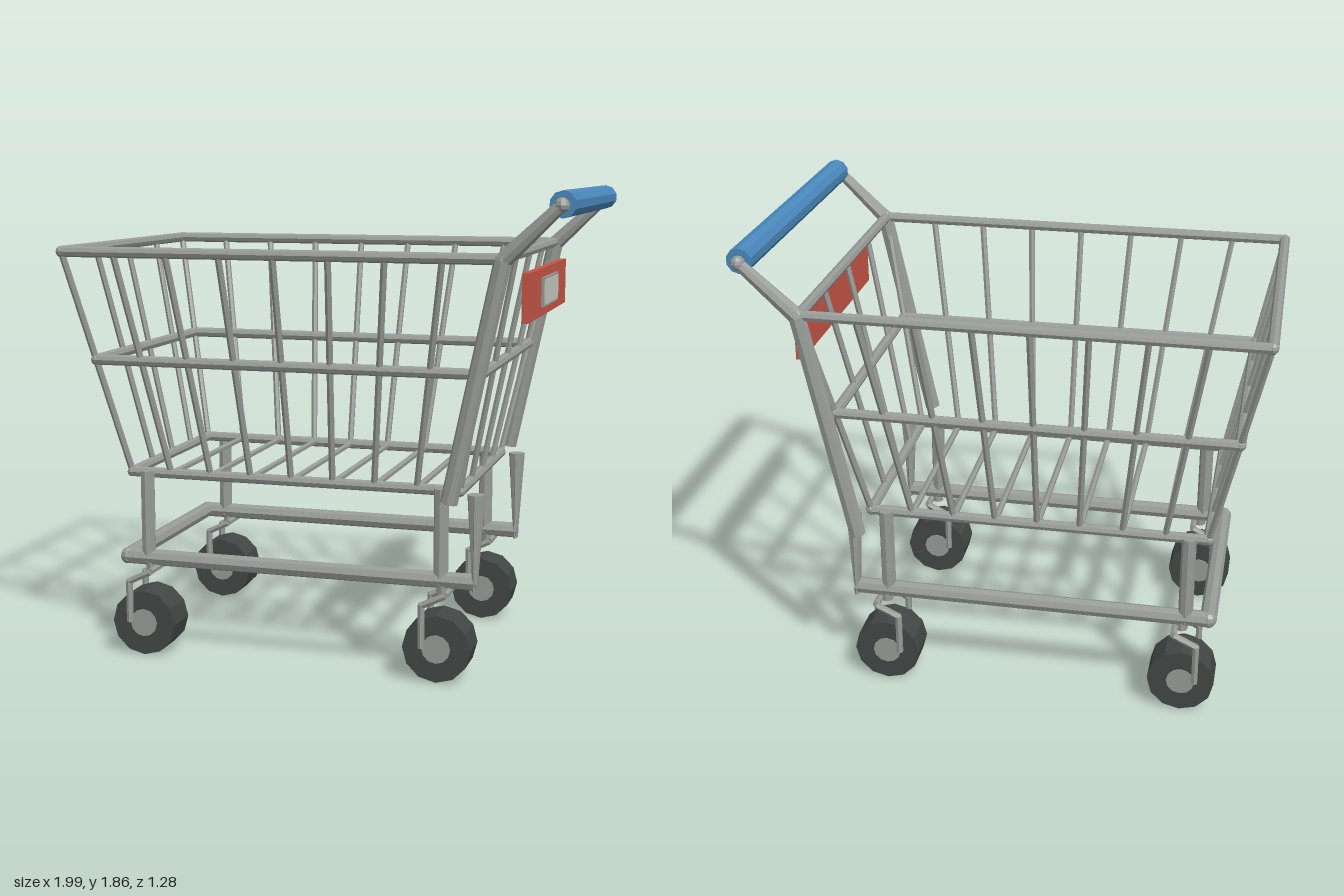
import * as THREE from 'three';

const mat = (name, color) => {
  const m = new THREE.MeshStandardMaterial({ color });
  m.name = name;
  return m;
};
const V = (x, y, z) => new THREE.Vector3(x, y, z);

export function createModel() {
  const metal = mat('steel grey', 0x979b97);
  const rubber = mat('dark rubber', 0x424746);
  const blue = mat('handle blue', 0x4a88bc);
  const red = mat('panel red', 0xc65646);
  const pale = mat('label pale grey', 0xc6c8c0);
  const cart = new THREE.Group();
  cart.name = 'shoppingCart';

  const group = (name, parent = cart) => {
    const g = new THREE.Group();
    g.name = name;
    parent.add(g);
    return g;
  };
  // faceted mesh
  const add = (parent, name, geometry, material, pos) => {
    const flat = geometry.index ? geometry.toNonIndexed() : geometry;
    flat.computeVertexNormals();
    const m = new THREE.Mesh(flat, material);
    m.name = name;
    if (pos) m.position.copy(pos);
    parent.add(m);
    return m;
  };
  // straight rod from a to b, optionally tapered
  const rod = (parent, name, a, b, r, r2 = r, material = metal, sides = 8) => {
    const d = b.clone().sub(a);
    const g = new THREE.CylinderGeometry(r2, r, d.length(), sides);
    g.applyQuaternion(new THREE.Quaternion().setFromUnitVectors(V(0, 1, 0), d.normalize()));
    return add(parent, name, g, material, a.clone().add(b).multiplyScalar(0.5));
  };
  const joint = (parent, p, r) => add(parent, 'joint', new THREE.SphereGeometry(r, 8, 6), metal, p);

  // basket: u runs from nose to handle end, w across, t from floor to rim
  const L = THREE.MathUtils.lerp;
  const at = (u, w, t) => V(
    L(L(-0.79, 0.55, u), L(-0.98, 0.73, u), t),
    L(0.73, 1.615, t),
    w * L(0.41, 0.6, t));
  const basket = group('basket');
  for (const [name, t] of [['floorRing', 0], ['middleRing', 0.52], ['topRim', 1]]) {
    const c = [at(0, 1, t), at(1, 1, t), at(1, -1, t), at(0, -1, t)];
    c.forEach((p, i) => {
      rod(basket, name, p, c[(i + 1) % 4], 0.021);
      joint(basket, p, 0.022);
    });
  }
  for (let i = 0; i <= 8; i++) {
    const u = i / 8;
    for (const w of [-1, 1]) rod(basket, 'sideWire', at(u, w, 0), at(u, w, 1), 0.013, 0.013, metal, 6);
    if (i > 0 && i < 8) rod(basket, 'floorWire', at(u, -1, 0), at(u, 1, 0), 0.013, 0.013, metal, 6);
  }
  for (const u of [0, 1])
    for (const w of [-0.5, 0, 0.5]) rod(basket, 'endWire', at(u, w, 0), at(u, w, 1), 0.012, 0.012, metal, 6);

  // handle posts, arms and grip
  const handle = group('handle');
  for (const s of [-1, 1]) {
    const elbow = V(0.735, 1.61, s * 0.602), tip = V(0.94, 1.805, s * 0.612);
    rod(handle, 'handlePost', V(0.55, 0.725, s * 0.602), elbow, 0.033);
    joint(handle, elbow, 0.033);
    rod(handle, 'handleArm', elbow, tip, 0.032, 0.023);
    joint(handle, tip, 0.028);
  }
  rod(handle, 'grip', V(0.942, 1.808, -0.6), V(0.942, 1.808, 0.6), 0.049, 0.049, blue, 10);

  // panel below the grip
  const panel = group('panel');
  add(panel, 'panelBoard', new THREE.BoxGeometry(0.026, 0.182, 0.904), red, V(0.791, 1.465, 0));
  add(panel, 'panelFrame', new THREE.BoxGeometry(0.014, 0.112, 0.344), metal, V(0.808, 1.465, 0));
  add(panel, 'panelLabel', new THREE.BoxGeometry(0.006, 0.096, 0.328), pale, V(0.815, 1.465, 0));

  // lower frame: open-ended U with uprights and tapered tail stubs
  const frame = group('lowerFrame');
  const railY = 0.386, noseX = -0.807, sideZ = 0.43;
  rod(frame, 'noseBar', V(noseX, railY, -sideZ), V(noseX, railY, sideZ), 0.033);
  for (const s of [-1, 1]) {
    const z = s * sideZ;
    joint(frame, V(noseX, railY, z), 0.034);
    rod(frame, 'sideRail', V(noseX, railY, z), V(0.625, railY, z), 0.033);
    for (const x of [-0.717, 0.484])
      rod(frame, 'upright', V(x, 0.37, z), V(x, 0.74, z), 0.029);
    // stub flattens lengthways towards its foot
    const g = new THREE.CylinderGeometry(0.034, 0.033, 0.37, 8);
    const p = g.attributes.position;
    for (let i = 0; i < p.count; i++) if (p.getY(i) < 0) p.setX(i, p.getX(i) * 0.3);
    add(frame, 'tailStub', g, metal, V(0.617, 0.54, z));
  }

  // casters
  for (const x of [-0.714, 0.484])
    for (const s of [-1, 1]) {
      const c = group('caster');
      c.position.set(x, 0, s * 0.432);
      const across = (name, r, w, m, sides) =>
        rod(c, name, V(0, 0.133, -w / 2), V(0, 0.133, w / 2), r, r, m, sides);
      across('tyre', 0.132, 0.143, rubber, 12);
      across('hub', 0.056, 0.15, metal, 12);
      rod(c, 'swivel', V(0.01, 0.335, 0), V(0.01, 0.37, 0), 0.025);
      rod(c, 'forkBridge', V(0.035, 0.348, -0.08), V(0.035, 0.348, 0.08), 0.014, 0.014, metal, 6);
      for (const k of [-1, 1]) {
        const z = k * 0.078, bend = V(-0.056, 0.302, z), top = V(0.035, 0.346, z);
        rod(c, 'forkLeg', V(-0.056, 0.135, z), bend, 0.014, 0.014, metal, 6);
        rod(c, 'forkShoulder', bend, top, 0.014, 0.014, metal, 6);
        joint(c, bend, 0.014);
      }
    }
  return cart;
}
